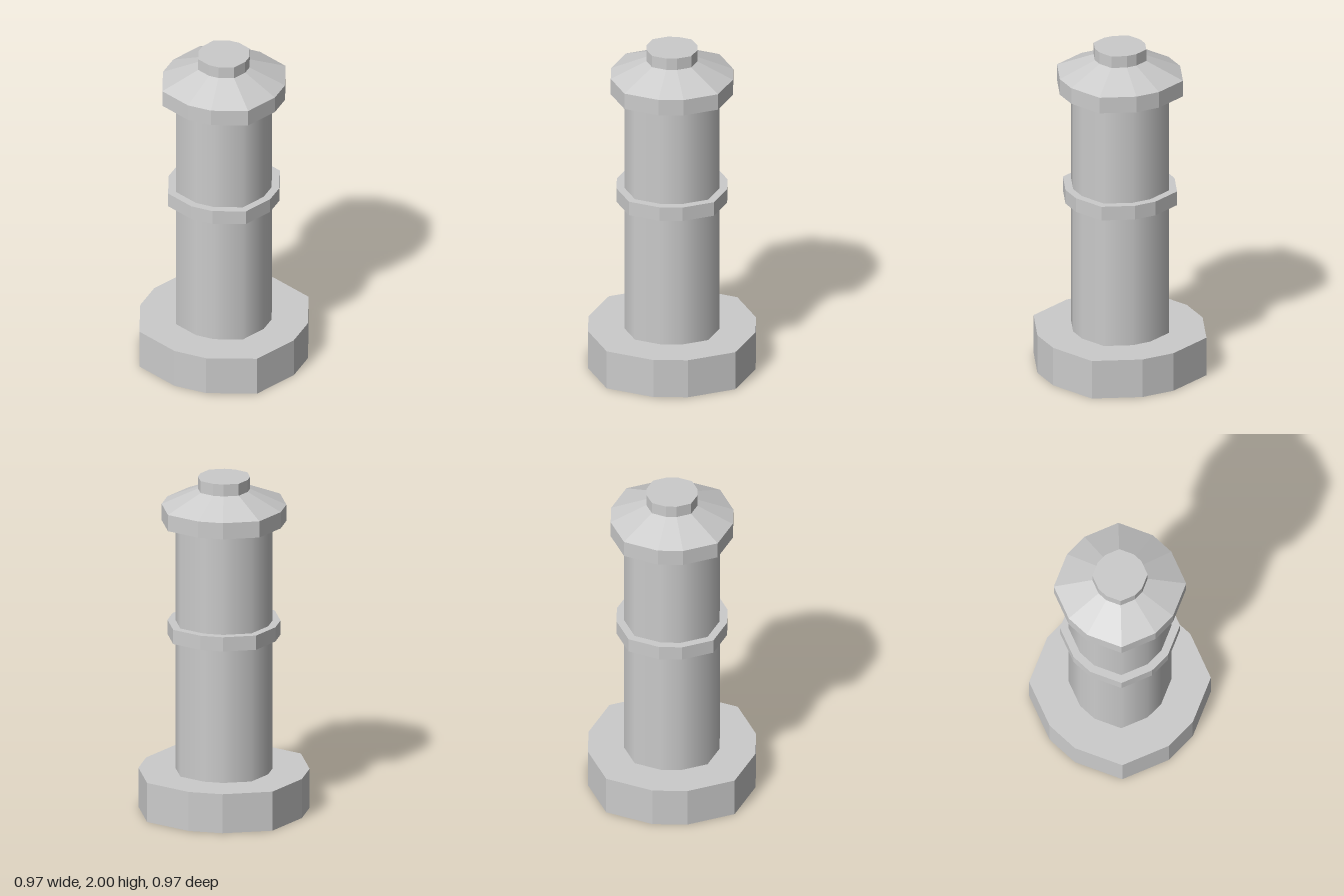
import * as THREE from 'three';

// Twelve-sided outline for a half-width of 1: narrow flats on the axes, corners on the diagonals
const quarter = [[0.207, 1], [0.767, 0.767], [1, 0.207]];
const outline = [];
for (let q = 0; q < 4; q++) {
  for (const [x, z] of quarter) {
    const c = Math.round(Math.cos(q * Math.PI / 2)), s = Math.round(Math.sin(q * Math.PI / 2));
    outline.push([x * c + z * s, z * c - x * s]);
  }
}

const material = new THREE.MeshStandardMaterial({ color: 0xcccccc, side: THREE.DoubleSide });

// Sweep a [halfWidth, y] profile around the outline, faceted or smooth
function shell(name, profile, smooth = false) {
  let geo = new THREE.LatheGeometry(profile.map(([r, y]) => new THREE.Vector2(r, y)), 12);
  const pos = geo.attributes.position, normal = geo.attributes.normal;
  for (let i = 0; i < pos.count; i++) {
    const [x, z] = outline[Math.floor(i / profile.length) % 12];
    const [r, y] = profile[i % profile.length];
    pos.setXYZ(i, x * r, y, z * r);
    const len = Math.hypot(x, z);
    normal.setXYZ(i, x / len, 0, z / len);
  }
  if (!smooth) {
    geo = geo.toNonIndexed();
    geo.computeVertexNormals();
  }
  const mesh = new THREE.Mesh(geo, material);
  mesh.name = name;
  return mesh;
}

export function createModel() {
  const group = new THREE.Group();
  group.name = 'column';
  const shaft = 0.274, band = 0.319, cap = 0.352, top = 0.147;
  group.add(
    // Hollow foot, open underneath, with a ledge reaching the shaft
    shell('base', [[0.483, 0], [0.483, 0.236], [shaft, 0.236]]),
    shell('lowerShaft', [[shaft, 0.236], [shaft, 1.046]], true),
    // Raised ring round the middle
    shell('band', [[shaft, 1.046], [band, 1.046], [band, 1.132], [shaft, 1.132]]),
    shell('upperShaft', [[shaft, 1.132], [shaft, 1.735]], true),
    // Overhanging rim, sloping roof and top knob
    shell('cap', [[shaft, 1.735], [cap, 1.735], [cap, 1.833], [top, 1.928]]),
    shell('knob', [[top, 1.928], [top, 2], [0, 2]])
  );
  return group;
}
